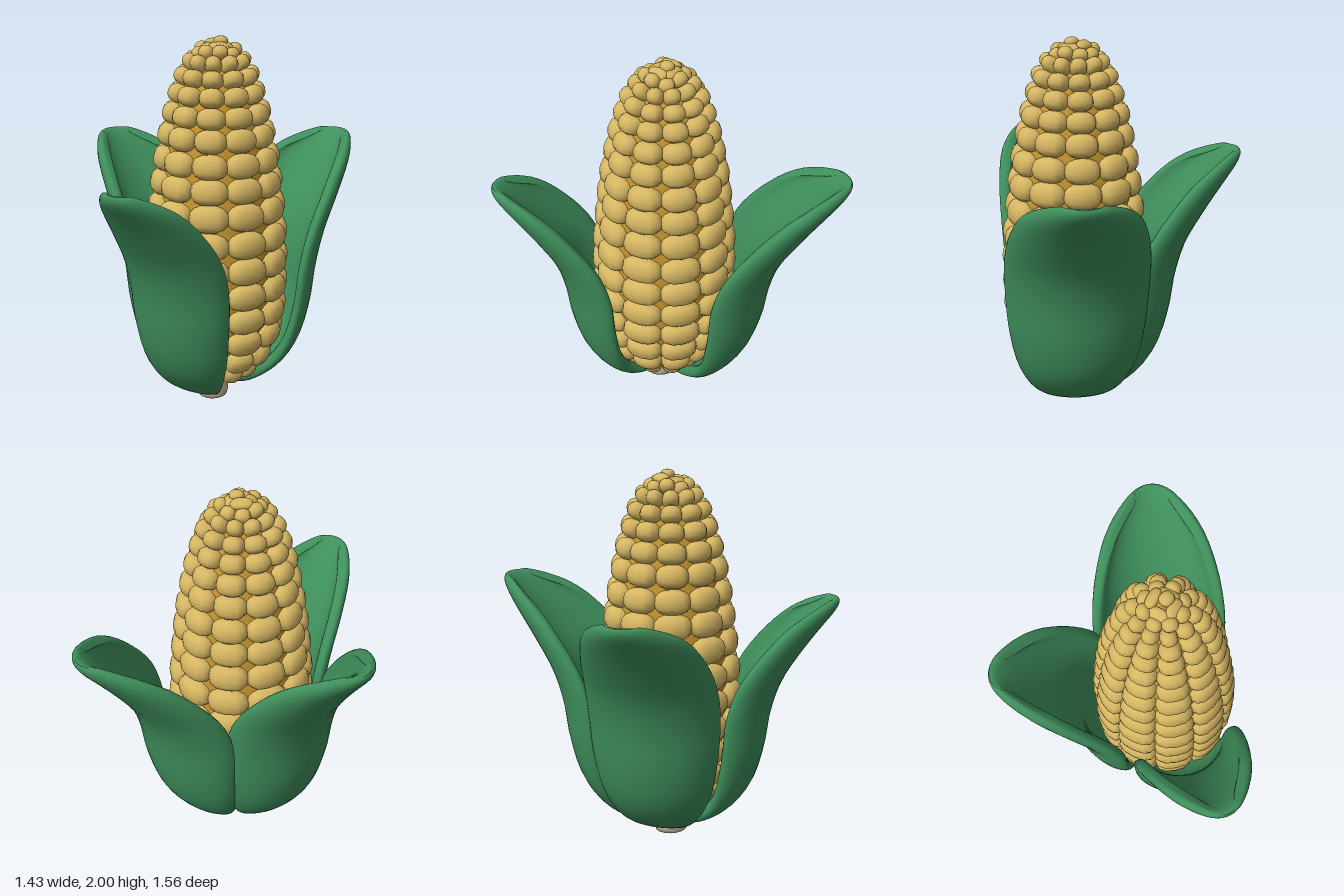
import * as THREE from 'three';
import { mergeGeometries } from 'three/addons/utils/BufferGeometryUtils.js';

const paint = (name, color, extra = {}) => {
  const m = new THREE.MeshStandardMaterial({ color, ...extra });
  m.name = name;
  return m;
};
const CX = 0.02, CZ = -0.03; // axis of the cob

// Kernel rows: height, outer radius, kernels in the row
const ROWS = [
  [0.21, 0.22, 10], [0.3, 0.3, 10], [0.425, 0.36, 10], [0.555, 0.383, 10], [0.69, 0.388, 10],
  [0.83, 0.388, 10], [0.97, 0.382, 10], [1.115, 0.368, 10], [1.25, 0.352, 10], [1.375, 0.334, 10],
  [1.5, 0.31, 10], [1.61, 0.285, 10], [1.71, 0.254, 10], [1.795, 0.22, 10], [1.865, 0.172, 10],
  [1.918, 0.118, 8], [1.95, 0.065, 4],
];

// Rounded kernel of unit half size
function kernelShape() {
  const g = new THREE.SphereGeometry(1, 12, 8);
  const p = g.attributes.position;
  const swell = (c) => Math.sign(c) * Math.abs(c) ** 0.85;
  for (let i = 0; i < p.count; i++) p.setXYZ(i, swell(p.getX(i)), swell(p.getY(i)), swell(p.getZ(i)));
  g.computeVertexNormals();
  return g;
}

function kernels() {
  const base = kernelShape(), parts = [], o = new THREE.Object3D();
  o.rotation.order = 'YXZ';
  ROWS.forEach(([y, R, n], i) => {
    const lo = ROWS[Math.max(i - 1, 0)], hi = ROWS[Math.min(i + 1, ROWS.length - 1)];
    const tilt = Math.min(Math.atan2(lo[1] - hi[1], hi[0] - lo[0]), 1.1);
    const pitch = Math.hypot(hi[0] - lo[0], hi[1] - lo[1]) / (lo === ROWS[i] || hi === ROWS[i] ? 1 : 2);
    const depth = Math.min(0.065, R * 0.35), r = R - depth * Math.cos(tilt);
    for (let k = 0; k < n; k++) {
      const a = (k / n) * Math.PI * 2 + (n < 10 ? 0.3 : 0);
      const wobble = n < 10 ? 0.01 * Math.sin(k * 2.4 + i) : 0;
      o.position.set(CX + r * Math.sin(a), y + wobble, CZ + r * Math.cos(a));
      o.rotation.set(-tilt, a, 0);
      o.scale.set(Math.max(1.06 * r * Math.tan(Math.PI / n), 0.03), Math.min(pitch * 0.52, 0.072), depth);
      o.updateMatrix();
      parts.push(base.clone().applyMatrix4(o.matrix));
    }
  });
  // Last kernel at the very tip
  parts.push(base.clone().scale(0.038, 0.026, 0.035).translate(CX + 0.02, 1.974, CZ));
  return mergeGeometries(parts);
}

// Husk sections from base to tip: midrib radius, height, half width, edge curl
const HUSK = [
  [0.05, 0.115, 0.08, 0.02], [0.18, 0.125, 0.14, 0.05], [0.34, 0.215, 0.23, 0.13], [0.45, 0.36, 0.3, 0.2],
  [0.51, 0.56, 0.34, 0.235], [0.54, 0.76, 0.355, 0.25], [0.6, 0.95, 0.355, 0.25], [0.71, 1.13, 0.325, 0.23],
  [0.83, 1.29, 0.25, 0.18], [0.93, 1.4, 0.09, 0.06],
];
const curveOf = (a, b) =>
  new THREE.CatmullRomCurve3(HUSK.map((h) => new THREE.Vector3(h[a], h[b], 0)), false, 'catmullrom');
const ribCurve = curveOf(0, 1), widthCurve = curveOf(2, 3);

// Thick curled leaf with rolled edges, pointing along the given heading
function huskLeaf(heading, reach, width, height) {
  const a = THREE.MathUtils.degToRad(heading), sin = Math.sin(a), cos = Math.cos(a), ARC = 1.25;
  const surface = (s, v) => {
    const rib = ribCurve.getPoint(s), w = widthCurve.getPoint(s);
    const lat = width * w.x * Math.sin(v * ARC) / Math.sin(ARC);
    const rad = reach * rib.x - width * w.y * (1 - Math.cos(v * ARC)) / (1 - Math.cos(ARC));
    return new THREE.Vector3(CX + rad * sin + lat * cos, rib.y * height, CZ + rad * cos - lat * sin);
  };
  const NS = 40, NV = 48, pos = [], idx = [], e = 0.01;
  for (let i = 0; i <= NS; i++) {
    const s = (1 - Math.cos((Math.PI * i) / NS)) / 2;
    const s0 = Math.max(s - e, 0), s1 = Math.min(s + e, 1);
    for (let j = 0; j < NV; j++) {
      const phi = (2 * Math.PI * j) / NV, v = Math.cos(phi);
      const n = surface(s, v + e).sub(surface(s, v - e))
        .cross(surface(s1, v).sub(surface(s0, v))).normalize();
      let h = 0.038 * Math.sqrt(Math.max(1 - v ** 8, 0)) * Math.sqrt(Math.max(1 - (2 * s - 1) ** 16, 0));
      if (Math.sin(phi) < 0) h *= -(0.7 + 1.0 * v ** 6);
      if (j === 0 || j === NV / 2) h = 0;
      pos.push(...surface(s, v).addScaledVector(n, h).toArray());
      if (i < NS) {
        const p = i * NV + j, q = i * NV + ((j + 1) % NV);
        idx.push(p, p + NV, q, q, p + NV, q + NV);
      }
    }
  }
  const g = new THREE.BufferGeometry();
  g.setAttribute('position', new THREE.Float32BufferAttribute(pos, 3));
  g.setIndex(idx);
  g.computeVertexNormals();
  return g;
}

export function createModel() {
  const group = new THREE.Group();
  const kernelYellow = paint('kernelYellow', 0xd6b662);
  const cobGold = paint('cobGold', 0xc6962f);
  const huskGreen = paint('huskGreen', 0x3f8f5c, { side: THREE.DoubleSide });
  const stemBeige = paint('stemBeige', 0xc9b99f);
  const add = (name, geometry, material) => {
    const mesh = new THREE.Mesh(geometry, material);
    mesh.name = name;
    group.add(mesh);
    return mesh;
  };
  const lathe = (pts, n) => new THREE.LatheGeometry(pts.map(([r, y]) => new THREE.Vector2(r, y)), n);

  // Core between the kernels
  const core = ROWS.map(([y, R]) => [Math.max(R - 0.06, 0.02), y]);
  add('cobCore', lathe([[0, 0.14], [0.1, 0.16], ...core, [0, 1.96]], 30), cobGold).position.set(CX, 0, CZ);
  add('kernels', kernels(), kernelYellow);

  // Stem stub, slightly deeper than wide
  const stem = lathe([[0, 0.008], [0.055, 0], [0.078, 0.012], [0.086, 0.04], [0.084, 0.1], [0.08, 0.2]], 16);
  add('stem', stem.scale(1, 1, 1.12), stemBeige).position.set(0, 0, CZ);

  // Three husk leaves
  add('frontHusk', huskLeaf(-26, 0.945, 0.79, 0.965), huskGreen);
  add('backLeftHusk', huskLeaf(138, 1.02, 1, 1), huskGreen);
  add('backRightHusk', huskLeaf(-127, 0.94, 0.95, 1), huskGreen);
  return group;
}
